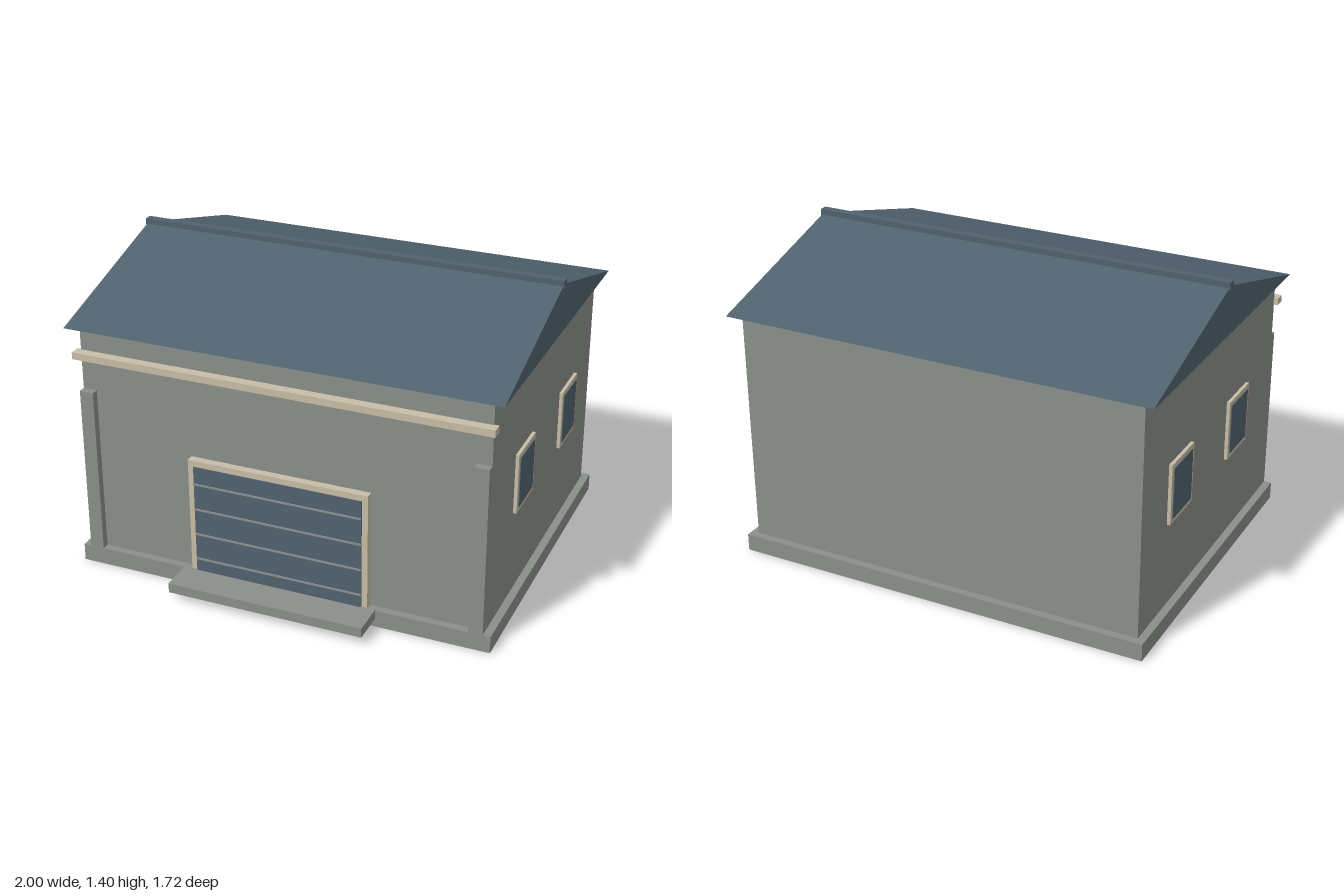
import * as THREE from 'three';

const paint = (name, color) => {
  const m = new THREE.MeshStandardMaterial({ color });
  m.name = name;
  return m;
};

export function createModel() {
  const wallGrey = paint('wallGrey', 0x8a9089);
  const slateBlue = paint('slateBlue', 0x50626f);
  const trimCream = paint('trimCream', 0xc8bda6);

  const model = new THREE.Group();
  model.name = 'garage';

  // Box given by its extents along each axis
  const box = (name, mat, [x0, x1], [y0, y1], [z0, z1], parent = model) => {
    const mesh = new THREE.Mesh(new THREE.BoxGeometry(x1 - x0, y1 - y0, z1 - z0), mat);
    mesh.position.set((x0 + x1) / 2, (y0 + y1) / 2, (z0 + z1) / 2);
    mesh.name = name;
    parent.add(mesh);
    return mesh;
  };

  // Main volume
  box('plinth', wallGrey, [-0.975, 0.975], [0, 0.08], [-0.845, 0.705]);
  box('walls', wallGrey, [-0.94, 0.94], [0.08, 1.145], [-0.81, 0.67]);
  box('frontBand', trimCream, [-0.96, 0.96], [1.015, 1.047], [0.665, 0.715]);
  box('doorStep', wallGrey, [-0.457, 0.457], [0.04, 0.085], [0.7, 0.863]);

  // Gable roof: triangle in z-y, extruded along x
  const gable = new THREE.Shape([
    new THREE.Vector2(-0.715, 1.155),
    new THREE.Vector2(0.855, 1.155),
    new THREE.Vector2(0.07, 1.38),
  ]);
  const roofGeo = new THREE.ExtrudeGeometry(gable, { depth: 1.986, bevelEnabled: false });
  roofGeo.translate(0, 0, -0.993).rotateY(Math.PI / 2);
  const roof = new THREE.Mesh(roofGeo, slateBlue);
  roof.name = 'roof';
  model.add(roof);
  box('ridgeCap', slateBlue, [-0.998, 0.998], [1.365, 1.4], [-0.09, -0.052]);

  // Sectional door with frame and seams
  const door = new THREE.Group();
  door.name = 'door';
  model.add(door);
  box('doorPanel', slateBlue, [-0.393, 0.393], [0.08, 0.602], [0.66, 0.711], door);
  box('doorLintel', trimCream, [-0.42, 0.42], [0.602, 0.63], [0.66, 0.706], door);
  for (const s of [-1, 1]) {
    const xs = [s * 0.393, s * 0.42].sort((a, b) => a - b);
    box('doorJamb', trimCream, xs, [0.08, 0.602], [0.66, 0.706], door);
  }
  for (const y of [0.147, 0.271, 0.395, 0.519]) {
    box('doorSeam', wallGrey, [-0.393, 0.393], [y - 0.004, y + 0.004], [0.709, 0.716], door);
  }

  // Corner pilasters and side windows, mirrored left and right
  for (const s of [-1, 1]) {
    const span = (a, b) => (s > 0 ? [a, b] : [-b, -a]);
    box('pilaster', wallGrey, span(0.875, 0.94), [0.08, 0.862], [0.665, 0.704]);
    for (const z of [0.228, -0.423]) {
      const win = new THREE.Group();
      win.name = 'window';
      model.add(win);
      box('windowGlass', slateBlue, span(0.935, 0.959), [0.5, 0.735], [z - 0.098, z + 0.098], win);
      const fx = span(0.935, 0.955);
      box('windowHead', trimCream, fx, [0.735, 0.757], [z - 0.118, z + 0.118], win);
      box('windowSill', trimCream, fx, [0.478, 0.5], [z - 0.118, z + 0.118], win);
      box('windowJamb', trimCream, fx, [0.5, 0.735], [z - 0.118, z - 0.098], win);
      box('windowJamb', trimCream, fx, [0.5, 0.735], [z + 0.098, z + 0.118], win);
    }
  }

  return model;
}
